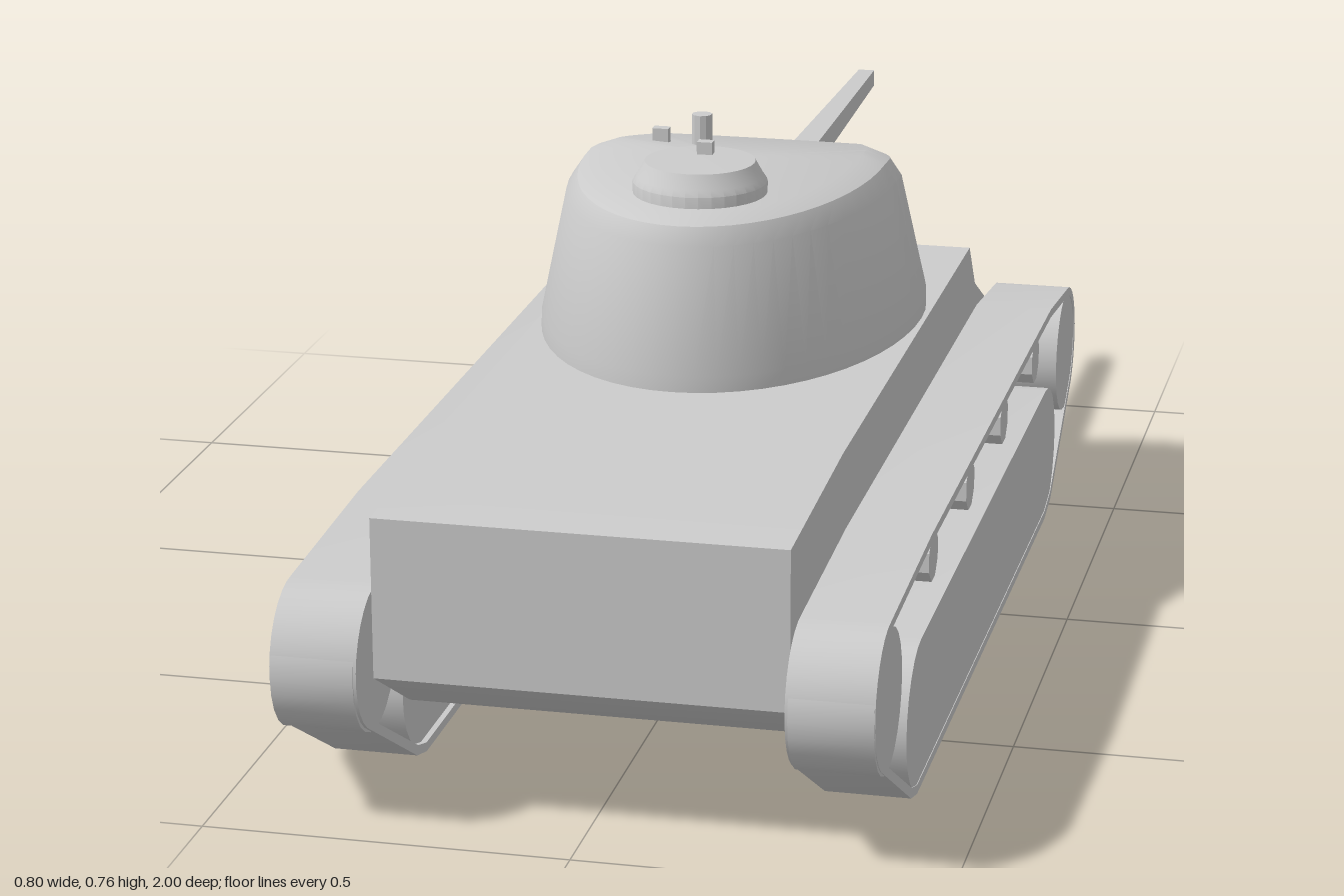
import * as THREE from 'three';
import { toCreasedNormals } from 'three/addons/utils/BufferGeometryUtils.js';

const mat = new THREE.MeshStandardMaterial({ color: 0xcccccc, side: THREE.DoubleSide });
const V = (pts) => pts.map(([a, b]) => new THREE.Vector2(a, b));

export function createModel() {
  const model = new THREE.Group();

  function add(name, geo, x = 0, y = 0, z = 0, crease = 0.6) {
    const mesh = new THREE.Mesh(toCreasedNormals(geo, crease), mat);
    mesh.name = name;
    mesh.position.set(x, y, z);
    model.add(mesh);
    return mesh;
  }

  // Side profile of [z, y] points extruded across x0..x1
  function slab(name, pts, x0, x1, hole) {
    const shape = new THREE.Shape(V(pts));
    if (hole) shape.holes.push(new THREE.Path(V(hole)));
    const geo = new THREE.ExtrudeGeometry(shape, { depth: x1 - x0, bevelEnabled: false });
    geo.rotateY(-Math.PI / 2).translate(x1, 0, 0);
    return add(name, geo);
  }

  // Arc points around (cz, cy), angles in degrees
  function arc(cz, cy, r, a0, a1, n = 12) {
    return Array.from({ length: n + 1 }, (_, i) => {
      const a = THREE.MathUtils.degToRad(a0 + (a1 - a0) * i / n);
      return [cz + r * Math.cos(a), cy + r * Math.sin(a)];
    });
  }

  // Hull
  slab('hull', [
    [0.94, 0.427], [0.6, 0.443], [-0.405, 0.443], [-0.46, 0.37],
    [-0.71, 0.24], [-0.7, 0.205], [-0.52, 0.112], [0.78, 0.112], [0.94, 0.205],
  ], -0.278, 0.278);
  slab('lowerHull', [
    [0.85, 0.255], [0.8, 0.155], [0.77, 0.113], [-0.5, 0.113], [-0.56, 0.18], [-0.56, 0.255],
  ], -0.291, 0.291);

  // Running gear, mirrored left and right
  const belt = (t) => [
    ...arc(0.9, 0.224, 0.1 - t, 92, -56),
    [0.735 - t * 0.4, 0.012 + t], [0.69, t], [-0.43, t], [-0.49 + t * 0.4, 0.014 + t],
    ...arc(-0.62, 0.22, 0.1 - t, -132, -266),
    [-0.45, 0.338 - t], [0.6, 0.338 - t],
  ];
  for (const s of [1, -1]) {
    const side = s > 0 ? 'left' : 'right';
    const across = (name, pts, inner, outer, hole) =>
      slab(side + name, pts, s > 0 ? inner : -outer, s > 0 ? outer : -inner, hole);
    across('Track', belt(0), 0.283, 0.4, belt(0.013));
    across('RoadWheelBlock', [
      ...arc(0.665, 0.109, 0.105, 90, -90), ...arc(-0.42, 0.109, 0.105, -90, -270),
    ], 0.291, 0.399);
    across('Idler', arc(0.905, 0.218, 0.097, 0, 345, 23), 0.287, 0.399);
    across('Sprocket', arc(-0.622, 0.219, 0.096, 0, 345, 23), 0.287, 0.399);
    for (const z of [0.57, 0.275, -0.02, -0.318]) {
      across('ReturnRoller', arc(z, 0.297, 0.036, 22.5, 337.5, 7), 0.285, 0.397);
    }
  }

  // Turret ring
  const ring = new THREE.CylinderGeometry(0.25, 0.25, 0.03, 40);
  add('turretRing', ring, 0, 0.445, 0.05);

  // Turret shell lofted through stacked outlines: [y, half width, rear z, front z, front half width]
  const levels = [
    [0.452, 0.276, 0.42, -0.205, 0.225], [0.475, 0.275, 0.419, -0.21, 0.225],
    [0.655, 0.236, 0.395, -0.218, 0.185], [0.68, 0.219, 0.382, -0.205, 0.172],
    [0.692, 0.185, 0.35, -0.175, 0.15],
  ];
  function outline([y, w, rear, front, fw]) {
    const half = [];
    for (let i = 0; i <= 14; i++) {
      const a = (i / 14) * Math.PI / 2;
      half.push([w * Math.sin(a), rear * Math.cos(a)]);
    }
    for (let i = 1; i <= 5; i++) {
      const t = i / 5;
      half.push([w + (fw - w) * t * t, front * t]);
    }
    half.push([fw * 0.5, front - 0.006]);
    half.push([0, front - 0.008]);
    const other = half.slice(1, -1).reverse().map(([x, z]) => [-x, z]);
    return [...half, ...other].map(([x, z]) =>
      [x, y - (y > 0.6 ? Math.max(0, -0.02 - z) * 0.2 : 0), z]);
  }
  const rings = levels.map(outline);
  const n = rings[0].length;
  const pos = rings.flat(2);
  pos.push(0, 0.452, 0.05, 0, 0.693, 0.05);
  const idx = [];
  const low = n * levels.length, top = low + 1, last = low - n;
  for (let i = 0; i < n; i++) {
    const j = (i + 1) % n;
    for (let k = 0; k < levels.length - 1; k++) {
      const a = k * n + i, b = k * n + j;
      idx.push(a, b, b + n, a, b + n, a + n);
    }
    idx.push(low, j, i, top, last + i, last + j);
  }
  const shell = new THREE.BufferGeometry();
  shell.setAttribute('position', new THREE.Float32BufferAttribute(pos, 3));
  shell.setIndex(idx);
  add('turret', shell.toNonIndexed(), 0, 0, 0, 0.4);

  // Gun mantlet, offset to one side
  slab('mantlet', [
    [-0.17, 0.645], [-0.235, 0.635], [-0.262, 0.595], [-0.262, 0.482], [-0.205, 0.468], [-0.17, 0.468],
  ], -0.152, 0.068);

  // Square-section gun: [distance, half width]
  function gunPart(name, z0, z1, r0, r1, sides, x, y) {
    const k = sides === 4 ? Math.SQRT2 : 1;
    const geo = new THREE.CylinderGeometry(r1 * k, r0 * k, z0 - z1, sides);
    geo.rotateY(Math.PI / sides).rotateX(-Math.PI / 2);
    add(name, geo, x, y, (z0 + z1) / 2);
  }
  gunPart('gunSleeve', -0.25, -0.38, 0.044, 0.021, 4, 0, 0.553);
  gunPart('gunBarrel', -0.38, -1, 0.021, 0.013, 4, 0, 0.553);
  gunPart('coaxialTube', -0.25, -0.385, 0.029, 0.029, 16, -0.105, 0.57);

  // Cupola
  const cupola = V([[0, 0.67], [0.095, 0.67], [0.095, 0.708], [0.089, 0.717], [0.078, 0.737], [0, 0.738]]);
  add('cupola', new THREE.LatheGeometry(cupola, 32), 0, 0, 0.24);

  // Small roof and glacis fittings
  add('cupolaSight', new THREE.BoxGeometry(0.022, 0.025, 0.016), 0, 0.743, 0.205);
  add('periscope', new THREE.CylinderGeometry(0.015, 0.015, 0.06, 10), -0.067, 0.693, -0.065);
  add('roofSight', new THREE.BoxGeometry(0.024, 0.03, 0.016), -0.125, 0.688, -0.05);
  add('driverSight', new THREE.BoxGeometry(0.024, 0.025, 0.016), -0.16, 0.448, -0.355);

  return model;
}
